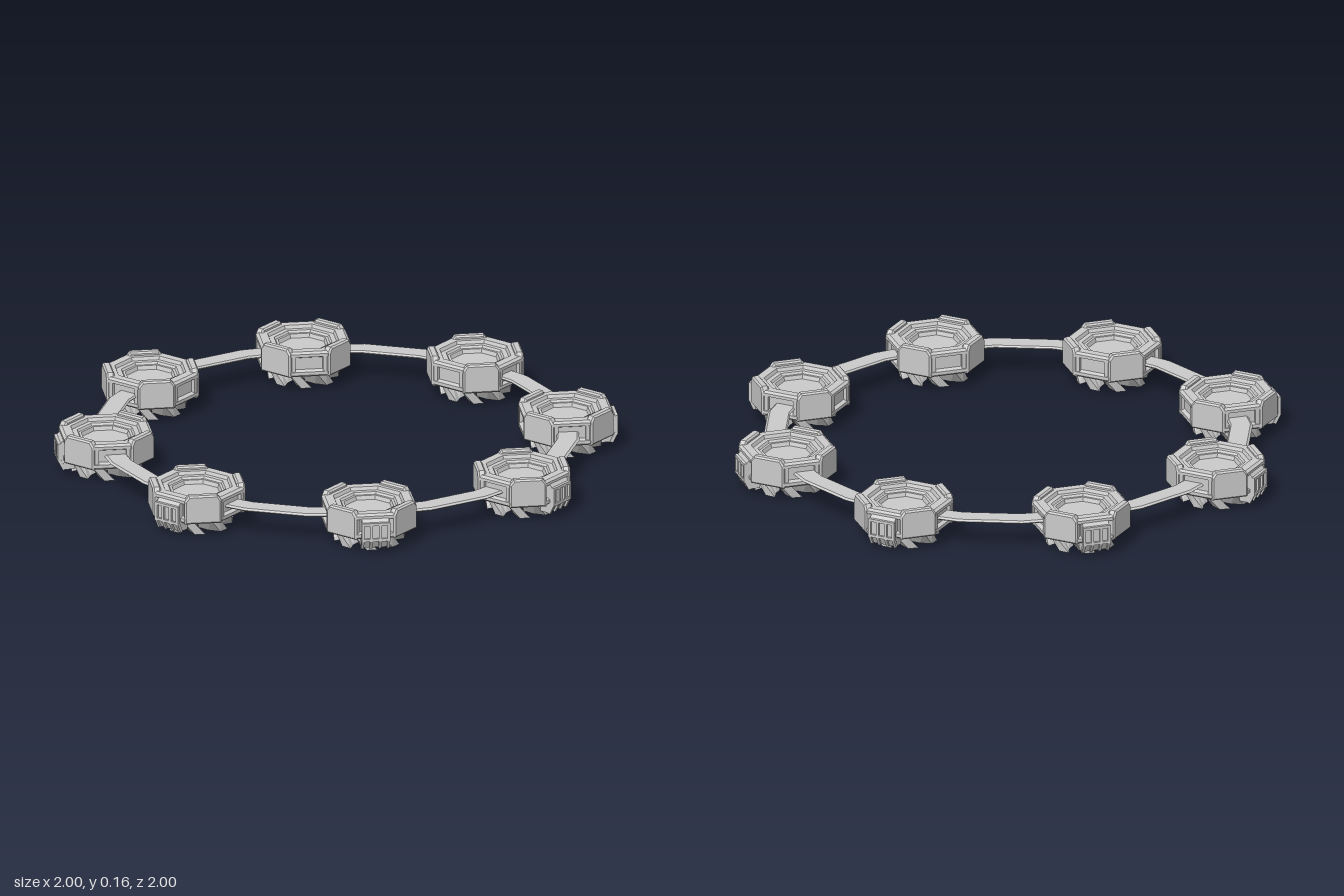
import * as THREE from 'three';

const material = new THREE.MeshStandardMaterial({ color: 0xcccccc, flatShading: true });
const PODS = 8, POD_RADIUS = 0.82;

function addMesh(parent, geometry, name, x = 0, y = 0, z = 0) {
  const mesh = new THREE.Mesh(geometry, material);
  mesh.name = name;
  mesh.position.set(x, y, z);
  parent.add(mesh);
  return mesh;
}

const box = (parent, name, w, h, d, x, y, z) =>
  addMesh(parent, new THREE.BoxGeometry(w, h, d), name, x, y, z);

// Octagonal turning: radii are measured to the middle of the flat sides
function octagon(profile) {
  const k = 1 / Math.cos(Math.PI / 8);
  const points = profile.map(([r, y]) => new THREE.Vector2(r * k, y));
  return new THREE.LatheGeometry(points, 8, Math.PI / 8);
}

function shapeFrom(points) {
  return new THREE.Shape(points.map(([x, y]) => new THREE.Vector2(x, y)));
}

// Raised armour plate with clipped upper corners and bevelled edges
function plateGeometry() {
  const b = 0.006;
  const outline = shapeFrom([
    [-0.060, 0.060], [0.060, 0.060], [0.060, 0.138],
    [0.048, 0.154], [-0.048, 0.154], [-0.060, 0.138]]);
  const geometry = new THREE.ExtrudeGeometry(outline, {
    depth: 0.018, bevelEnabled: true, bevelThickness: b, bevelSize: b, bevelSegments: 1 });
  return geometry.translate(0, 0, 0.141);
}

// Slanted rotor blade: the lower end is swept round the axis and pulled in
function bladeGeometry() {
  const geometry = new THREE.BoxGeometry(0.038, 0.056, 0.075, 1, 1, 2);
  geometry.translate(0, 0.028, 0.095);
  const p = geometry.attributes.position;
  const axis = new THREE.Vector3(0, 1, 0), v = new THREE.Vector3();
  for (let i = 0; i < p.count; i++) {
    v.fromBufferAttribute(p, i);
    const low = 1 - v.y / 0.056;
    v.z -= 0.008 * low;
    v.applyAxisAngle(axis, 0.42 * low + (v.z - 0.06) * 5);
    p.setXYZ(i, v.x, v.y, v.z);
  }
  geometry.computeVertexNormals();
  return geometry;
}

function createPod() {
  const pod = new THREE.Group();

  // Body with a recessed waist, stepped rim and sunken dish
  addMesh(pod, octagon([
    [0, 0.045], [0.125, 0.045], [0.150, 0.054], [0.160, 0.062], [0.160, 0.074],
    [0.146, 0.080], [0.146, 0.124], [0.160, 0.130], [0.160, 0.141], [0.150, 0.148],
    [0.120, 0.148], [0.115, 0.136], [0.098, 0.136], [0.093, 0.128], [0.084, 0.128],
    [0.079, 0.114], [0, 0.114]]), 'podBody');

  // Four corner plates
  const plate = plateGeometry();
  for (let i = 0; i < 4; i++) {
    addMesh(pod, plate, 'cornerPlate').rotation.y = Math.PI / 4 + i * Math.PI / 2;
  }

  // Posts closing the ends of the slots on the sides and the inner face
  for (let i = 1; i < 4; i++) {
    const face = new THREE.Group();
    face.name = 'slotFrame';
    face.rotation.y = i * Math.PI / 2;
    for (const s of [-1, 1]) box(face, 'slotPost', 0.014, 0.062, 0.016, s * 0.056, 0.102, 0.150);
    pod.add(face);
  }

  // Outer grille: a slanting panel with uprights and cross bars
  const grille = new THREE.Group();
  grille.name = 'outerGrille';
  const side = shapeFrom([[-0.120, 0.022], [-0.155, 0.022], [-0.172, 0.055],
    [-0.172, 0.118], [-0.160, 0.132], [-0.120, 0.132]]);
  const panel = new THREE.ExtrudeGeometry(side, { depth: 0.096, bevelEnabled: false });
  panel.rotateY(Math.PI / 2).translate(-0.048, 0, 0);
  addMesh(grille, panel, 'grillePanel');
  for (const x of [-0.046, -0.016, 0.016, 0.046]) {
    box(grille, 'grilleUpright', 0.010, 0.062, 0.012, x, 0.087, 0.174);
    const foot = box(grille, 'grilleFoot', 0.010, 0.040, 0.012, x, 0.040, 0.165);
    foot.rotation.x = 0.48;
  }
  for (const y of [0.057, 0.116]) box(grille, 'grilleBar', 0.102, 0.010, 0.012, 0, y, 0.174);
  pod.add(grille);

  // Rotor below: swept blades round a ringed hub
  const blade = bladeGeometry();
  for (let i = 0; i < 8; i++) {
    addMesh(pod, blade, 'rotorBlade').rotation.y = i * Math.PI / 4;
  }
  const hub = [[0, 0.022], [0.038, 0.022], [0.042, 0.012], [0.056, 0.012], [0.066, 0.046]];
  addMesh(pod, new THREE.LatheGeometry(hub.map(([r, y]) => new THREE.Vector2(r, y)), 16), 'rotorHub');
  return pod;
}

export function createModel() {
  const model = new THREE.Group();
  model.name = 'podRing';

  // Thin faceted band joining the pods
  const band = [[0.785, 0.100], [0.790, 0.094], [0.858, 0.094], [0.866, 0.100],
    [0.858, 0.106], [0.790, 0.106], [0.785, 0.100]];
  addMesh(model, new THREE.LatheGeometry(band.map(([r, y]) => new THREE.Vector2(r, y)), 24), 'connectingBand');

  // Pods spaced evenly, each with its grille facing outwards
  for (let i = 0; i < PODS; i++) {
    const a = i * 2 * Math.PI / PODS;
    const pod = createPod();
    pod.name = 'pod' + (i + 1);
    pod.position.set(Math.sin(a) * POD_RADIUS, 0, Math.cos(a) * POD_RADIUS);
    pod.rotation.y = a;
    model.add(pod);
  }
  return model;
}
